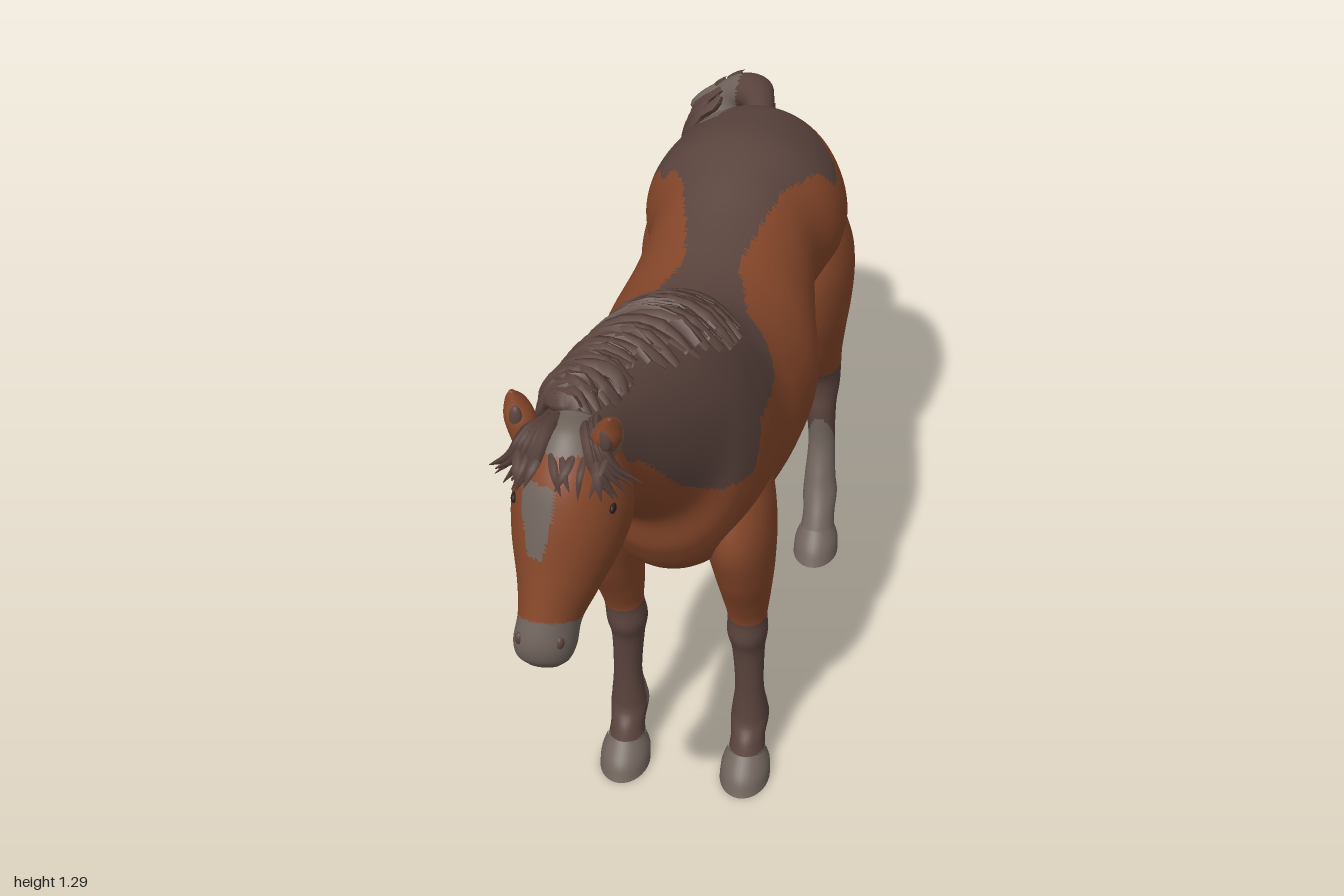
import * as THREE from 'three';
import { mergeGeometries } from 'three/addons/utils/BufferGeometryUtils.js';

const mat = (name, color) => Object.assign(new THREE.MeshStandardMaterial({ color }), { name });
const MATS = [mat('chestnut coat', 0x86472a), mat('dark brown hair', 0x5b443e),
  mat('taupe grey', 0x71655d), mat('near black', 0x2a1d18), mat('hoof sole', 0x6a3d2a)];
const [CHESTNUT, DARK, TAUPE, BLACK, SOLE] = [0, 1, 2, 3, 4];

// Section: [centre x, z and y of one edge, z and y of the opposite edge, half width]
function sampler(sections) {
  const curve = (f) => new THREE.CatmullRomCurve3(sections.map(f), false, 'catmullrom', 0.5);
  const mid = curve((s) => new THREE.Vector3(s[0], (s[2] + s[4]) / 2, (s[1] + s[3]) / 2));
  const half = curve((s) => new THREE.Vector3(s[5], (s[4] - s[2]) / 2, (s[3] - s[1]) / 2));
  return (u, angle, grow = 1) => {
    const c = mid.getPoint(u), h = half.getPoint(u), a = Math.cos(angle) * grow, b = Math.sin(angle) * grow;
    return new THREE.Vector3(c.x + h.x * a, c.y + h.y * b, c.z + h.z * b);
  };
}

// Smooth skin through the sections; pick(centroid) chooses the colour of each face
function loft(name, sections, rings, sides, pick, caps = true) {
  const at = sampler(sections), lists = MATS.map(() => []), pts = [];
  const first = caps ? -1 : 0, last = caps ? rings + 1 : rings;
  for (let i = first; i <= last; i++) {
    const u = THREE.MathUtils.clamp(i / rings, 0, 1), grow = i < 0 || i > rings ? 0 : 1;
    for (let j = 0; j < sides; j++) pts.push(at(u, (j / sides) * Math.PI * 2, grow));
  }
  const face = (a, b, c) => {
    lists[pick(pts[a].clone().add(pts[b]).add(pts[c]).divideScalar(3))].push(a, b, c);
  };
  for (let i = 0; i < last - first; i++) {
    for (let j = 0; j < sides; j++) {
      const k = (j + 1) % sides, r = i * sides;
      face(r + j, r + k, r + sides + j);
      face(r + k, r + sides + k, r + sides + j);
    }
  }
  const g = new THREE.BufferGeometry().setFromPoints(pts);
  g.setIndex(lists.flat());
  let start = 0;
  lists.forEach((l, i) => { if (l.length) g.addGroup(start, l.length, i); start += l.length; });
  g.computeVertexNormals();
  return Object.assign(new THREE.Mesh(g, MATS), { name });
}

// Lower edge of the dark back marking, as [z, y]
const SADDLE = [[-0.8, 1.03], [-0.7, 1.03], [-0.58, 0.965], [-0.5, 0.96], [-0.45, 1.02], [-0.33, 1.035],
  [-0.2, 1.017], [0, 0.998], [0.1, 1.0], [0.2, 0.93], [0.37, 0.95], [0.42, 0.86], [0.5, 0.87],
  [0.6, 0.95], [0.7, 1.07], [0.9, 1.2]];
// Grey socks climb the front of the hind legs and the inner back of the front legs
function legCoat(p) {
  if (p.z > 0) {
    const inner = p.x > 0 ? p.x < 0.14 : p.x > -0.1;
    if (p.y < 0.065 || (inner && p.z < 0.3 && p.y < 0.33)) return TAUPE;
    return p.y < 0.42 ? DARK : CHESTNUT;
  }
  const middle = -0.48 - 0.06 * Math.min(1, p.y / 0.22) - (p.x < 0 ? 0.2 : 0);
  if (p.y < Math.max(0.07, 0.25 + (p.z - middle) * 2.3)) return TAUPE;
  return p.y < 0.46 ? DARK : CHESTNUT;
}
function coat(p) {
  if (p.y < 0.5) return legCoat(p);
  if (p.z < -0.6 && p.y > 0.98 && Math.abs(p.x + 0.1) < (-0.55 - p.z) * 0.35) return TAUPE;
  const i = SADDLE.findIndex((s) => s[0] > p.z);
  if (i < 1) return CHESTNUT;
  const [a, b] = [SADDLE[i - 1], SADDLE[i]], drop = p.x < 0 && p.z < -0.4 ? 0.03 : 0;
  return p.y + drop > a[1] + ((b[1] - a[1]) * (p.z - a[0])) / (b[0] - a[0]) ? DARK : CHESTNUT;
}
function faceCoat(p) {
  if (p.y < 0.885 + (p.z - 0.92) * 0.45) return TAUPE;
  if (p.y > 1.205 && p.z > 0.78 && Math.abs(p.x + 0.08) < 0.045) return TAUPE;
  const blaze = Math.min(0.032, 0.014 + (p.y - 1.03) * 0.2);
  return p.z > 0.88 && p.y > 1.03 && p.y < 1.16 && Math.abs(p.x + 0.122) < blaze ? TAUPE : CHESTNUT;
}
const tailCoat = (p) => (p.y > 0.94 && p.z < -0.78 && p.x < -0.07 ? TAUPE : DARK);

const BODY = [
  [0, -0.755, 0.8, -0.735, 0.97, 0.1], [0, -0.745, 0.7, -0.69, 1.04, 0.165], [0, -0.66, 0.62, -0.58, 1.075, 0.212],
  [0, -0.5, 0.64, -0.45, 1.095, 0.218], [0, -0.36, 0.655, -0.33, 1.075, 0.183], [0, -0.22, 0.585, -0.2, 1.035, 0.2],
  [0, -0.05, 0.548, -0.05, 1.012, 0.23], [0, 0.1, 0.54, 0.08, 1.025, 0.222], [0, 0.26, 0.555, 0.16, 1.06, 0.2],
  [0, 0.42, 0.6, 0.26, 1.11, 0.19], [-0.005, 0.5, 0.7, 0.36, 1.16, 0.17], [-0.02, 0.53, 0.8, 0.47, 1.2, 0.146],
  [-0.05, 0.62, 0.89, 0.59, 1.225, 0.12], [-0.078, 0.7, 0.95, 0.7, 1.24, 0.094], [-0.09, 0.76, 0.99, 0.8, 1.235, 0.07]];
const HEAD = [
  [-0.083, 0.7, 1.08, 0.8, 1.24, 0.055], [-0.083, 0.69, 1.0, 0.86, 1.235, 0.087], [-0.084, 0.72, 0.95, 0.915, 1.175, 0.105],
  [-0.088, 0.785, 0.915, 0.945, 1.1, 0.095], [-0.098, 0.84, 0.87, 0.965, 1.0, 0.07], [-0.108, 0.865, 0.835, 0.98, 0.93, 0.056],
  [-0.115, 0.88, 0.8, 0.995, 0.87, 0.056], [-0.117, 0.905, 0.785, 0.99, 0.83, 0.047], [-0.117, 0.925, 0.783, 0.97, 0.8, 0.03]];
const FRONT_LEG = [
  [0.09, 0.26, 0.9, 0.34, 0.91, 0.05], [0.113, 0.205, 0.78, 0.42, 0.79, 0.072], [0.13, 0.205, 0.67, 0.46, 0.68, 0.073],
  [0.14, 0.235, 0.57, 0.43, 0.57, 0.062], [0.143, 0.25, 0.48, 0.385, 0.48, 0.05], [0.145, 0.265, 0.42, 0.36, 0.42, 0.041],
  [0.145, 0.255, 0.37, 0.36, 0.37, 0.042], [0.147, 0.265, 0.32, 0.345, 0.32, 0.034], [0.15, 0.275, 0.22, 0.335, 0.22, 0.03],
  [0.15, 0.25, 0.15, 0.335, 0.15, 0.037], [0.15, 0.24, 0.115, 0.34, 0.12, 0.04], [0.15, 0.27, 0.075, 0.36, 0.09, 0.036],
  [0.15, 0.285, 0.04, 0.375, 0.055, 0.04]];
const HIND_LEG = [
  [0.09, -0.58, 0.97, -0.5, 0.98, 0.05], [0.113, -0.66, 0.87, -0.42, 0.88, 0.093], [0.128, -0.725, 0.77, -0.37, 0.77, 0.109],
  [0.138, -0.73, 0.68, -0.375, 0.66, 0.102], [0.15, -0.69, 0.58, -0.42, 0.55, 0.078], [0.165, -0.645, 0.51, -0.465, 0.49, 0.056],
  [0.175, -0.625, 0.455, -0.5, 0.44, 0.044], [0.178, -0.615, 0.41, -0.51, 0.39, 0.04], [0.178, -0.593, 0.35, -0.505, 0.34, 0.035],
  [0.183, -0.575, 0.25, -0.505, 0.25, 0.031], [0.185, -0.56, 0.16, -0.475, 0.17, 0.036], [0.188, -0.55, 0.12, -0.455, 0.13, 0.04],
  [0.19, -0.52, 0.08, -0.43, 0.09, 0.037], [0.19, -0.5, 0.04, -0.41, 0.055, 0.04]];
const TAIL = [
  [0, -0.64, 1.04, -0.68, 0.97, 0.035], [-0.01, -0.74, 1.047, -0.74, 0.985, 0.035], [-0.05, -0.86, 1.03, -0.79, 0.97, 0.06],
  [-0.09, -0.915, 0.93, -0.775, 0.9, 0.088], [-0.1, -0.945, 0.75, -0.78, 0.75, 0.1], [-0.1, -0.96, 0.58, -0.795, 0.58, 0.096],
  [-0.1, -0.97, 0.43, -0.825, 0.43, 0.085], [-0.095, -0.97, 0.31, -0.875, 0.31, 0.06]];
const FRONT_HOOF = [[0.15, 0.285, 0.05, 0.375, 0.07, 0.04], [0.15, 0.272, 0.025, 0.412, 0.035, 0.051],
  [0.15, 0.275, 0, 0.428, 0, 0.053]];
const HIND_HOOF = [[0.19, -0.5, 0.05, -0.41, 0.07, 0.04], [0.19, -0.512, 0.025, -0.378, 0.035, 0.05],
  [0.19, -0.51, 0, -0.36, 0, 0.052]];

// Leg with hoof; the foot end is shifted by dx, dz to set the stance
function leg(name, sections, hoof, side, dx, dz) {
  const pose = (s) => {
    const w = 1 - THREE.MathUtils.smoothstep(s[2], 0.3, 0.72);
    return [side * s[0] + dx * w, s[1] + dz * w, s[2], s[3] + dz * w, s[4], s[5]];
  };
  const h = hoof.map(pose), end = h[h.length - 1];
  const sole = new THREE.Mesh(new THREE.CircleGeometry(1, 32).rotateX(Math.PI / 2), MATS[SOLE]);
  sole.scale.set(end[5], 1, (end[3] - end[1]) / 2);
  sole.position.set(end[0], 0, (end[1] + end[3]) / 2);
  sole.name = name + 'Sole';
  return Object.assign(new THREE.Group(), { name }).add(sole,
    loft(name + 'Limb', sections.map(pose), 110, 36, coat), loft(name + 'Hoof', h, 10, 32, () => TAUPE, false));
}

// Tapered lock of hair along a few points
function lock(points, radius) {
  const curve = new THREE.CatmullRomCurve3(points), n = 10, sides = 5, v = new THREE.Vector3();
  const g = new THREE.TubeGeometry(curve, n, radius, sides), p = g.attributes.position;
  for (let i = 0; i < p.count; i++) {
    const t = Math.floor(i / (sides + 1)) / n, c = curve.getPointAt(t);
    v.fromBufferAttribute(p, i).sub(c).multiplyScalar(0.08 + 0.92 * Math.sin(Math.PI * Math.pow(0.12 + 0.88 * t, 0.8)));
    p.setXYZ(i, c.x + v.x, c.y + v.y, c.z + v.z);
  }
  g.computeVertexNormals();
  return g;
}

export function createModel() {
  const horse = Object.assign(new THREE.Group(), { name: 'horse' }), STEPS = [0, 0.25, 0.5, 0.75, 1];
  let seed = 7;
  const rnd = (a = 0, b = 1) => { seed = (seed * 16807) % 2147483647; return a + ((b - a) * seed) / 2147483647; };
  const hair = (name, geos, m) => horse.add(Object.assign(new THREE.Mesh(mergeGeometries(geos), MATS[m]), { name }));
  const blob = (name, m, x, y, z, sx, sy, sz) => {
    const g = new THREE.SphereGeometry(1, 16, 12).scale(sx, sy, sz).translate(x, y, z);
    horse.add(Object.assign(new THREE.Mesh(g, MATS[m]), { name }));
  };
  horse.add(loft('bodyAndNeck', BODY, 200, 96, coat), loft('head', HEAD, 100, 72, faceCoat),
    leg('leftFrontLeg', FRONT_LEG, FRONT_HOOF, 1, 0, 0), leg('rightFrontLeg', FRONT_LEG, FRONT_HOOF, -1, 0.04, 0),
    leg('leftHindLeg', HIND_LEG, HIND_HOOF, 1, 0, 0), leg('rightHindLeg', HIND_LEG, HIND_HOOF, -1, 0, -0.2));

  // Eyes, nostrils and ears; the left ear is grey behind, the right ear is turned back
  for (const s of [1, -1]) {
    const side = s > 0 ? 'left' : 'right', x = -0.09 + s * 0.07, back = s > 0 ? 0 : 0.05;
    blob(side + 'Eye', BLACK, -0.085 + s * 0.086, 1.105, 0.885, 0.006, 0.009, 0.012);
    blob(side + 'Nostril', DARK, -0.115 + s * 0.036, 0.868, 0.976, 0.008, 0.013, 0.009);
    horse.add(loft(side + 'Ear', [
      [x, 0.86, 1.19, 0.8, 1.18, 0.022], [x + s * 0.008, 0.885 - back * 0.5, 1.235, 0.825 - back * 0.5, 1.23, 0.028],
      [x + s * 0.016, 0.887 - back * 0.8, 1.268, 0.845 - back * 0.8, 1.265, 0.019],
      [x + s * 0.02, 0.89 - back, 1.293, 0.88 - back, 1.291, 0.004]],
    20, 20, (p) => (s > 0 && p.z < 0.865 ? TAUPE : CHESTNUT)));
    blob(side + 'InnerEar', DARK, x + s * 0.011, 1.245, 0.88 - back * 0.6, 0.012, 0.026, 0.009);
  }

  // Mane: locks rolling over the crest and down the right side of the neck
  const neck = sampler(BODY), mane = [];
  for (let i = 0; i < 110; i++) {
    const s = (i + rnd()) / 110, u = (8.2 + 5.7 * s) / 14;
    const from = rnd(48, 85), to = rnd(125, 160) + 30 * Math.sin(Math.PI * s);
    mane.push(lock(STEPS.map((t) => neck(Math.min(1, u - 0.025 * t + rnd(-0.01, 0.01)),
      THREE.MathUtils.degToRad(from + (to - from) * t), 1.01 + 0.11 * t * rnd(0.4, 1.2))), rnd(0.01, 0.02)));
  }
  hair('mane', mane, DARK);

  // Forelock: loose strands swept to both sides, with a short fringe
  const forelock = [];
  for (let i = 0; i < 20; i++) {
    const a = (i % 3 ? -1 : 1) * rnd(0.45, 1.1), d = rnd(0.6, 1.2), x = -0.085;
    forelock.push(lock([
      new THREE.Vector3(x + a * 0.04, 1.232, 0.8 + rnd(0, 0.03)), new THREE.Vector3(x + a * 0.06, 1.232, 0.87),
      new THREE.Vector3(x + a * 0.085, 1.185, 0.91 - 0.03 * a * a),
      new THREE.Vector3(x + a * 0.125, 1.185 - 0.05 * d, 0.92 - 0.055 * a * a)], rnd(0.008, 0.013)));
  }
  for (let i = 0; i < 9; i++) {
    const x = -0.16 + i * 0.019, sway = rnd(-0.03, 0.03);
    forelock.push(lock([new THREE.Vector3(x, 1.205, 0.885), new THREE.Vector3(x + sway / 2, 1.185, 0.918),
      new THREE.Vector3(x + sway, rnd(1.14, 1.165), 0.93)], rnd(0.006, 0.01)));
  }
  hair('forelock', forelock, DARK);

  // Tail: solid core with ragged wavy locks, some of them grey
  const tail = sampler(TAIL), locks = { [DARK]: [], [TAUPE]: [] };
  for (let i = 0; i < 190; i++) {
    const u = rnd(0.28, 0.9), len = rnd(0.12, 0.3), angle = rnd(0, Math.PI * 2), flare = rnd(0.95, 1.18);
    const pts = STEPS.map((t) => {
      const w = u + len * t;
      const p = tail(Math.min(1, w), angle + rnd(-0.2, 0.2), 0.97 + (flare - 0.97) * t + rnd(0, 0.05));
      p.y -= Math.max(0, w - 1) * 0.5;
      return p;
    });
    locks[rnd() < (u > 0.65 ? 0.35 : 0.1) ? TAUPE : DARK].push(lock(pts, rnd(0.008, 0.016)));
  }
  horse.add(loft('tailCore', TAIL, 60, 28, tailCoat));
  hair('tailLocks', locks[DARK], DARK);
  hair('greyTailLocks', locks[TAUPE], TAUPE);
  return horse;
}
